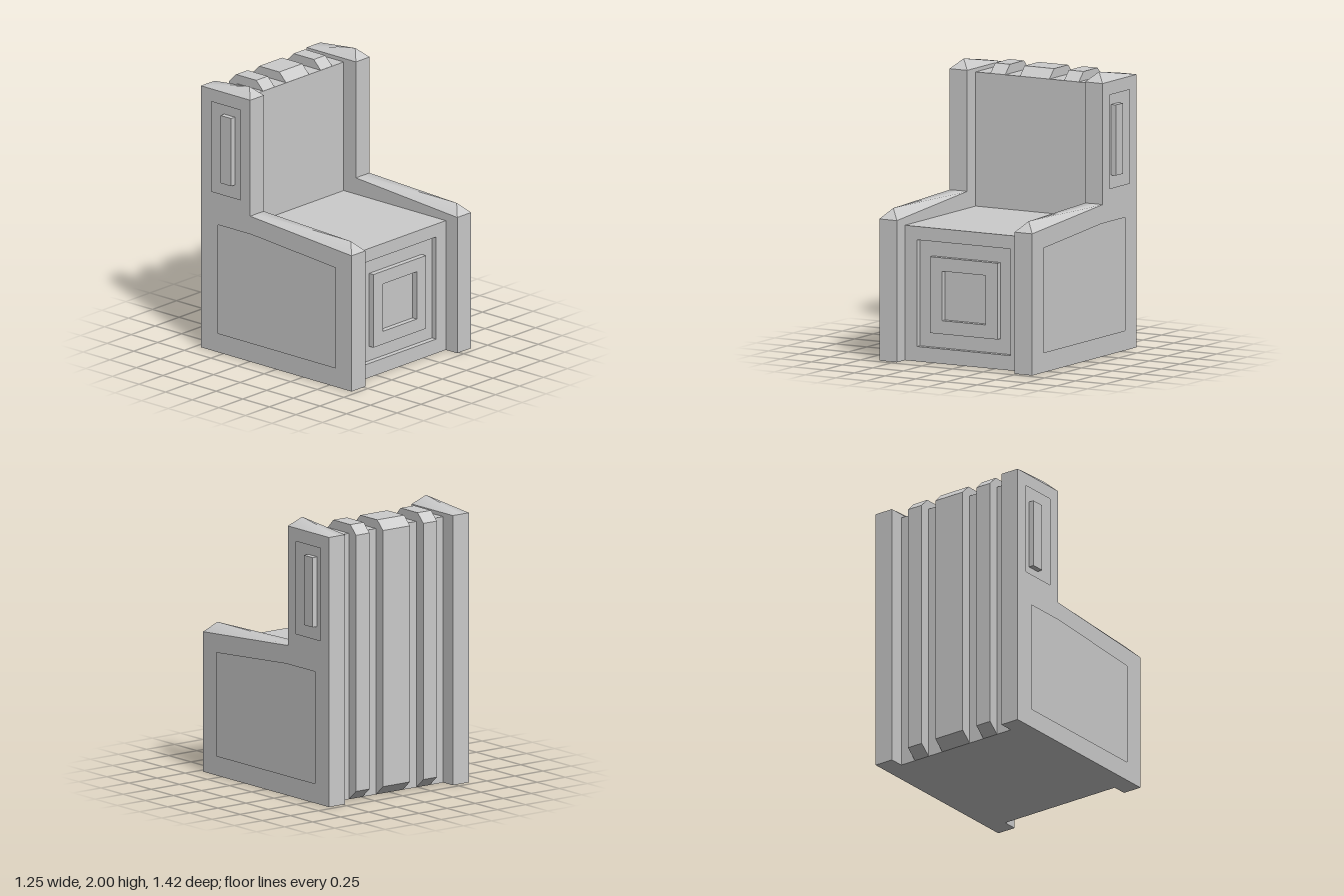
import * as THREE from 'three';

const material = new THREE.MeshStandardMaterial({ color: 0xcccccc });

function add(parent, name, geometry) {
  const mesh = new THREE.Mesh(geometry, material);
  mesh.name = name;
  parent.add(mesh);
  return mesh;
}

const rect = (x0, x1, y0, y1) => [[x0, y0], [x1, y0], [x1, y1], [x0, y1]];
const points = (list) => list.map(([x, y]) => new THREE.Vector2(x, y));

function slab(outline, holes, depth) {
  const shape = new THREE.Shape(points(outline));
  shape.holes = holes.map((h) => new THREE.Path(points(h)));
  return new THREE.ExtrudeGeometry(shape, { depth, bevelEnabled: false });
}

// Outline given as [z, y], extruded between two x positions
function sideSlab(outline, holes, xa, xb) {
  const flip = (list) => list.map(([z, y]) => [-z, y]);
  return slab(flip(outline), holes.map(flip), Math.abs(xb - xa))
    .rotateY(Math.PI / 2)
    .translate(Math.min(xa, xb), 0, 0);
}

// Ridged cap; each argument is [z, y]: edge front, edge back, ridge front, ridge back
function ridgeCap(front, back, ridgeFront, ridgeBack, x) {
  const h = (OUTER - INNER) / 2;
  const p = (dx, [z, y]) => [x + dx, y, z];
  const F = [p(-h, front), p(h, front)];
  const B = [p(-h, back), p(h, back)];
  const R1 = p(0, ridgeFront), R2 = p(0, ridgeBack);
  const position = [
    ...F[0], ...F[1], ...R1,
    ...F[1], ...B[1], ...R2, ...R1,
    ...F[0], ...B[0], ...R2, ...R1,
  ];
  const geometry = new THREE.BufferGeometry();
  geometry.setAttribute('position', new THREE.Float32BufferAttribute(position, 3));
  geometry.setIndex([0, 1, 2, 3, 4, 6, 4, 5, 6, 7, 10, 8, 8, 10, 9]);
  geometry.computeVertexNormals();
  return geometry;
}

const INNER = 0.48, OUTER = 0.623, RELIEF = 0.04;

export function createModel() {
  const model = new THREE.Group();
  model.name = 'chair';

  // Seat block and backrest
  const seat = new THREE.BoxGeometry(2 * INNER, 0.955, 0.92);
  add(model, 'seat', seat.translate(0, 0.4775, 0.1));
  const back = new THREE.BoxGeometry(2 * INNER, 1.905, 0.24);
  add(model, 'backrest', back.translate(0, 0.9525, -0.48));

  // Front panel: sunken field with a raised square ring
  const frame = slab(rect(-INNER, INNER, 0, 0.955), [rect(-0.38, 0.38, 0.105, 0.86)], RELIEF);
  add(model, 'frontFrame', frame.translate(0, 0, 0.56));
  const ring = slab(rect(-0.275, 0.275, 0.21, 0.75), [rect(-0.178, 0.178, 0.305, 0.655)], RELIEF);
  add(model, 'frontRing', ring.translate(0, 0, 0.56));

  // Ribs wrapping over the top and down the back
  const rib = [
    [-0.36, 1.905], [-0.425, 1.97], [-0.615, 1.97], [-0.68, 1.905],
    [-0.68, 0.07], [-0.6, 0], [-0.5, 0], [-0.5, 1.8], [-0.36, 1.8],
  ];
  for (const [xa, xb] of [[-0.36, -0.24], [-0.12, 0.12], [0.24, 0.36]]) {
    // Kept just behind the backrest face
    const outline = rib.map(([z, y]) => [z - (z === -0.36 ? 0.001 : 0), y]);
    add(model, 'backRib', sideSlab(outline, [], xa, xb));
  }

  // Side walls with sunken panels and ridged caps
  const wall = [
    [0.708, 0], [0.708, 1.003], [-0.245, 1.075],
    [-0.245, 1.932], [-0.708, 1.932], [-0.708, 0],
  ];
  const lowerPanel = [[0.555, 0.14], [0.555, 0.88], [-0.23, 0.942], [-0.55, 0.942], [-0.55, 0.14]];
  const upperPanel = rect(-0.61, -0.337, 1.175, 1.838);
  for (const [s, label] of [[1, 'left'], [-1, 'right']]) {
    const side = new THREE.Group();
    side.name = label + 'Side';
    const mid = OUTER - RELIEF;
    add(side, label + 'Wall', sideSlab(wall, [], s * INNER, s * mid));
    add(side, label + 'Frame', sideSlab(wall, [lowerPanel, upperPanel], s * mid, s * OUTER));
    add(side, label + 'Inset', sideSlab(rect(-0.525, -0.425, 1.255, 1.755), [], s * mid, s * OUTER));
    const x = s * (INNER + OUTER) / 2;
    add(side, label + 'ArmCap',
      ridgeCap([0.708, 1.003], [-0.245, 1.075], [0.637, 1.076], [-0.245, 1.076], x));
    add(side, label + 'PostCap',
      ridgeCap([-0.245, 1.932], [-0.708, 1.932], [-0.317, 2], [-0.708, 1.933], x));
    model.add(side);
  }
  return model;
}
